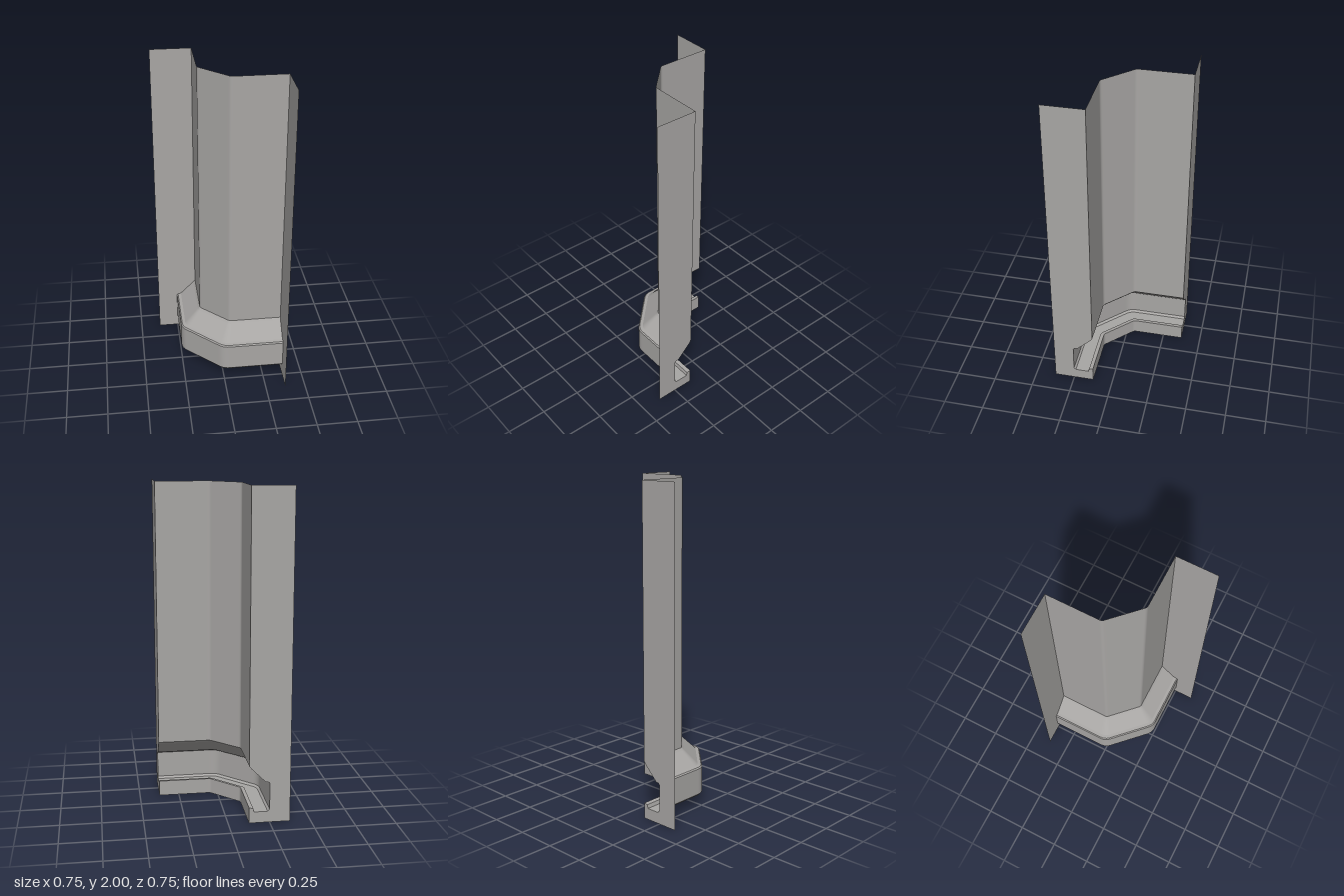
import * as THREE from 'three';

const HALF = 0.375;   // half the footprint
const WALL = 0.125;   // distance of the wall plane from the centre
// Wall section, top to bottom: [distance out from the wall, height]
const PROFILE = [
  [0, 2], [0, 0.36], [0.012, 0.345], [0.098, 0.259], [0.118, 0.255], [0.125, 0.247],
  [0.125, 0.083], [0.113, 0.07], [0.03, 0.07], [0.025, 0.093], [0, 0.097], [0, 0],
];

// Plan of the wall at a given offset: two straight runs joined by a 45 degree
// chamfer with rounded corners, symmetric about the line z = -x
function plan(d) {
  const w = WALL + d;
  const c = 0.047 - 0.4142 * d;
  const r = 0.03 + 0.45 * d;
  const t = r * Math.tan(Math.PI / 8);
  const half = [[HALF, w], [c + t + 0.01, w]];
  for (let i = 0; i <= 6; i++) {
    const a = (Math.PI / 4) * (i / 6);
    half.push([c + t - r * Math.sin(a), w - r + r * Math.cos(a)]);
  }
  const last = half[half.length - 1];
  half.push([last[0] - 0.007, last[1] - 0.007]);
  const mirrored = half.map(([x, z]) => [-z, -x]).reverse();
  return [...half, ...mirrored];
}

// One strip of surface between two neighbouring section points
function strip([d0, y0], [d1, y1]) {
  const top = plan(d0), bottom = plan(d1), n = top.length;
  const pos = [], index = [];
  top.forEach(([x, z]) => pos.push(x, y0, z));
  bottom.forEach(([x, z]) => pos.push(x, y1, z));
  for (let i = 0; i < n - 1; i++) {
    index.push(i, i + 1, n + i, i + 1, n + i + 1, n + i);
  }
  const g = new THREE.BufferGeometry();
  g.setAttribute('position', new THREE.Float32BufferAttribute(pos, 3));
  g.setIndex(index);
  g.computeVertexNormals();
  return g;
}

export function createModel() {
  const group = new THREE.Group();
  // Dull warm stone grey
  const material = new THREE.MeshStandardMaterial({ color: 0xa8a6a4, side: THREE.DoubleSide });

  // Wall and skirting moulding swept around the chamfered corner
  const lastStrip = PROFILE.length - 2;
  for (let i = 0; i <= lastStrip; i++) {
    const mesh = new THREE.Mesh(strip(PROFILE[i], PROFILE[i + 1]), material);
    mesh.name = i === 0 ? 'upperWall' : i === lastStrip ? 'wallFoot' : 'moulding' + i;
    group.add(mesh);
  }

  // Flat end panels whose inner edge follows the wall section
  const outline = PROFILE.map(([d, y]) => new THREE.Vector2(WALL + d, y));
  outline.push(new THREE.Vector2(HALF, 0), new THREE.Vector2(HALF, 2));
  const panel = new THREE.ShapeGeometry(new THREE.Shape(outline));

  const leftPanel = new THREE.Mesh(panel, material);
  leftPanel.name = 'leftEndPanel';
  leftPanel.rotation.y = -Math.PI / 2;
  leftPanel.position.x = HALF;

  const backPanel = new THREE.Mesh(panel, material);
  backPanel.name = 'backEndPanel';
  backPanel.rotation.y = Math.PI;
  backPanel.position.z = -HALF;

  group.add(leftPanel, backPanel);
  return group;
}
